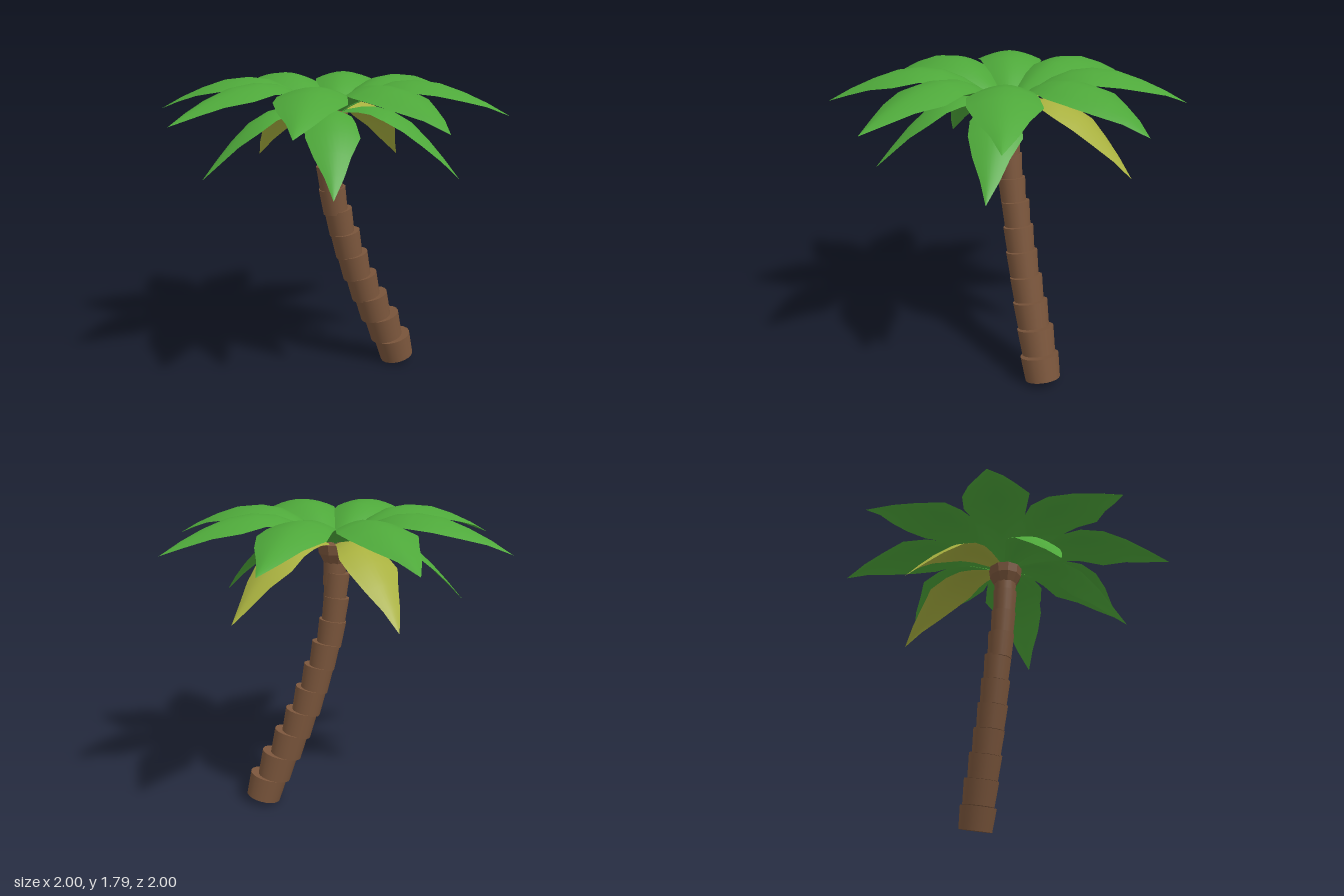
import * as THREE from 'three';

const bark = new THREE.MeshStandardMaterial({ color: 0x7b563c });
bark.name = 'bark brown';
const green = new THREE.MeshStandardMaterial({ color: 0x4ea83a, side: THREE.DoubleSide });
green.name = 'leaf green';
const yellow = new THREE.MeshStandardMaterial({ color: 0xa8b03f, side: THREE.DoubleSide });
yellow.name = 'dry leaf yellow';

// Frond stations: distance out, height, half-width on the +z side and on the -z side
const UPPER = [
  [0.04, -0.01, 0.02, 0.02], [0.12, 0.06, 0.06, 0.06], [0.25, 0.14, 0.11, 0.11],
  [0.36, 0.183, 0.155, 0.15], [0.48, 0.195, 0.2, 0.175], [0.62, 0.178, 0.19, 0.2],
  [0.76, 0.13, 0.135, 0.13], [0.89, 0.072, 0.06, 0.075], [1.02, 0, 0, 0],
];
const LOWER_HEIGHTS = [0, 0.02, 0.04, 0.043, 0.022, -0.035, -0.13, -0.235, -0.35];
const LOWER = UPPER.map(([u, , a, b], i) => [u * 0.745, LOWER_HEIGHTS[i], a * 0.75, b * 0.75]);

// A domed sheet lofted along the stations
function frondGeometry(stations) {
  const cols = 8, pos = [], index = [];
  stations.forEach(([u, y, a, b], i) => {
    for (let j = 0; j <= cols; j++) {
      const t = (j / cols) * 2 - 1;
      const w = t > 0 ? a : b;
      pos.push(u, y - 0.28 * w * Math.pow(Math.abs(t), 1.7), t * w);
      if (i < stations.length - 1 && j < cols) {
        const p = i * (cols + 1) + j, q = p + cols + 1;
        index.push(p, p + 1, q, p + 1, q + 1, q);
      }
    }
  });
  const g = new THREE.BufferGeometry();
  g.setAttribute('position', new THREE.Float32BufferAttribute(pos, 3));
  g.setIndex(index);
  g.computeVertexNormals();
  return g;
}

// Trunk rings: top centre x, y, z, top radius
const RINGS = [
  [0.41, 0.175, 0.035, 0.113], [0.341, 0.32, 0.02, 0.108], [0.27, 0.46, 0.01, 0.102],
  [0.208, 0.595, 0, 0.096], [0.15, 0.735, -0.006, 0.093], [0.103, 0.875, -0.012, 0.089],
  [0.06, 1.017, -0.019, 0.083], [0.02, 1.152, -0.018, 0.08], [-0.003, 1.29, -0.015, 0.075],
  [-0.01, 1.432, -0.008, 0.073], [0, 1.51, 0, 0.068],
];

export function createModel() {
  const model = new THREE.Group();
  model.name = 'palmTree';

  // Trunk of stacked flaring rings, straightening towards the top
  const trunk = new THREE.Group();
  trunk.name = 'trunk';
  RINGS.forEach(([x, y, z, r], i) => {
    const h = i === 0 ? 0.145 : 0.155;
    const g = new THREE.CylinderGeometry(r, r * 0.91, h, 20).translate(0, -h / 2, 0);
    const ring = new THREE.Mesh(g, bark);
    ring.name = 'trunkRing' + (i + 1);
    ring.position.set(x, y, z);
    ring.rotation.z = THREE.MathUtils.degToRad(15 - 11 * Math.pow(i / 10, 1.6));
    trunk.add(ring);
  });
  model.add(trunk);

  // Faceted heart holding the fronds
  const profile = [[0, 1.49], [0.068, 1.49], [0.097, 1.545], [0.104, 1.6], [0.06, 1.625], [0, 1.635]]
    .map(([r, y]) => new THREE.Vector2(r, y));
  const heartGeometry = new THREE.LatheGeometry(profile, 10).toNonIndexed();
  heartGeometry.computeVertexNormals();
  const heart = new THREE.Mesh(heartGeometry, bark);
  heart.name = 'crownHeart';
  model.add(heart);

  // Rings of fronds
  function addFronds(name, geometry, count, startDeg, materialAt) {
    const crown = new THREE.Group();
    crown.name = name + 's';
    for (let i = 0; i < count; i++) {
      const frond = new THREE.Mesh(geometry, materialAt(i));
      frond.name = name + (i + 1);
      frond.position.y = 1.6;
      frond.rotation.y = -THREE.MathUtils.degToRad(startDeg + (i * 360) / count);
      crown.add(frond);
    }
    model.add(crown);
  }
  addFronds('upperFrond', frondGeometry(UPPER), 8, -11.3, () => green);
  addFronds('lowerFrond', frondGeometry(LOWER), 5, 40.5, (i) => (i > 2 ? yellow : green));

  return model;
}
